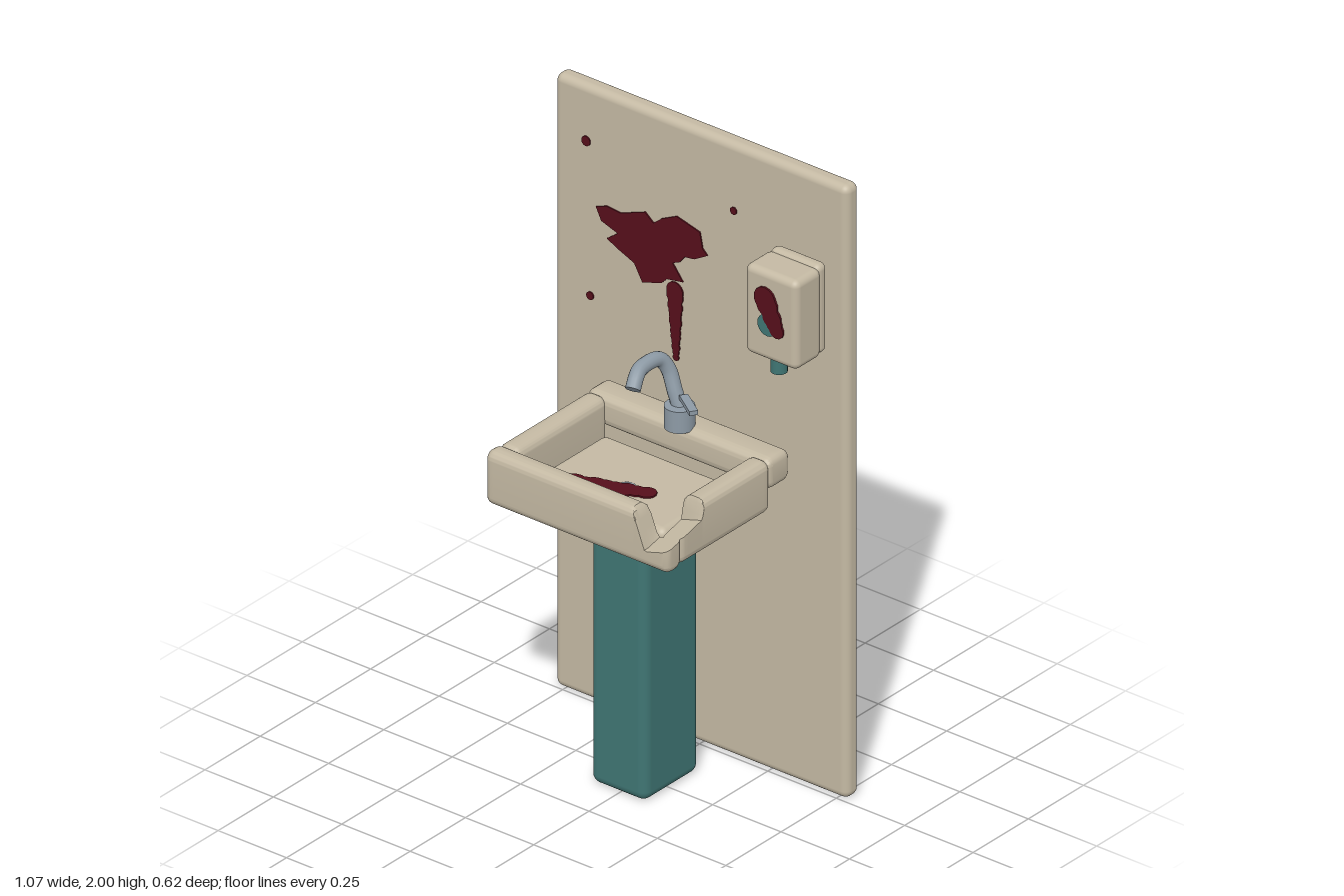
import * as THREE from 'three';
import { toCreasedNormals } from 'three/addons/utils/BufferGeometryUtils.js';
import { RoundedBoxGeometry } from 'three/addons/geometries/RoundedBoxGeometry.js';

const paint = (color) => new THREE.MeshStandardMaterial({ color });

export function createModel() {
  const model = new THREE.Group();
  const cream = paint(0xc4b9a3), teal = paint(0x3f7573), metal = paint(0x8d9aa5), red = paint(0x560f1b);

  const add = (name, geometry, material, x = 0, y = 0, z = 0, parent = model) => {
    const mesh = new THREE.Mesh(geometry, material);
    mesh.name = name;
    mesh.position.set(x, y, z);
    parent.add(mesh);
    return mesh;
  };

  // Rounded block given by its limits on each axis
  const block = (name, [x0, x1], [y0, y1], [z0, z1], r, material, parent = model) =>
    add(name, new RoundedBoxGeometry(x1 - x0, y1 - y0, z1 - z0, 4, r), material,
      (x0 + x1) / 2, (y0 + y1) / 2, (z0 + z1) / 2, parent);

  // Height of the broken surface at the front left corner of the rim
  const breakHeight = (x, z) => Math.max(
    1.03 + (x - 0.335) * 0.3 - (z - 0.14) * 0.25,
    1.085 - (x - 0.205) * 2.6,
    1.085 - (z - 0.14) * 5.5);

  // Rounded rim bar, extruded lengthwise and cut down to the broken surface
  const rimBar = (name, [x0, x1], [y0, y1], [z0, z1], alongX, parent) => {
    const length = alongX ? x1 - x0 : z1 - z0;
    const w = (alongX ? z1 - z0 : x1 - x0) / 2, h = (y1 - y0) / 2, r = 0.028, b = 0.022;
    const s = new THREE.Shape();
    s.moveTo(w - r, -h);
    s.absarc(w - r, -h + r, r, -Math.PI / 2, 0);
    s.absarc(w - r, h - r, r, 0, Math.PI / 2);
    s.absarc(-w + r, h - r, r, Math.PI / 2, Math.PI);
    s.absarc(-w + r, -h + r, r, Math.PI, Math.PI * 1.5);
    const g = new THREE.ExtrudeGeometry(s, {
      depth: length - 2 * b, steps: 60, curveSegments: 6,
      bevelThickness: b, bevelSize: b, bevelOffset: -b, bevelSegments: 4,
    });
    g.translate(0, 0, b - length / 2);
    if (alongX) g.rotateY(Math.PI / 2);
    g.translate((x0 + x1) / 2, (y0 + y1) / 2, (z0 + z1) / 2);
    const p = g.attributes.position;
    for (let i = 0; i < p.count; i++) {
      p.setY(i, Math.min(p.getY(i), breakHeight(p.getX(i), p.getZ(i))));
    }
    add(name, toCreasedNormals(g, 0.6), cream, 0, 0, 0, parent);
  };

  // Wall panel and pedestal
  block('wallPanel', [-0.535, 0.535], [0, 2], [-0.315, -0.255], 0.024, cream);
  block('pedestal', [-0.105, 0.1], [0, 0.88], [-0.13, 0.12], 0.03, teal);

  // Basin: floor slab surrounded by four rim bars
  const basin = new THREE.Group();
  basin.name = 'basin';
  model.add(basin);
  block('basinFloor', [-0.246, 0.246], [0.9, 0.985], [-0.125, 0.217], 0.025, cream, basin);
  rimBar('backRim', [-0.335, 0.335], [0.985, 1.085], [-0.25, -0.145], true, basin);
  rimBar('frontRim', [-0.335, 0.335], [0.91, 1.085], [0.24, 0.31], true, basin);
  rimBar('rightRim', [-0.335, -0.26], [0.915, 1.083], [-0.16, 0.25], false, basin);
  rimBar('leftRim', [0.26, 0.335], [0.915, 1.083], [-0.16, 0.25], false, basin);
  const drain = add('drain', new THREE.TorusGeometry(0.023, 0.005, 8, 24), metal, 0, 0.983, 0.08, basin);
  drain.rotation.x = Math.PI / 2;

  // Faucet: base, bent spout and lever
  const faucet = new THREE.Group();
  faucet.name = 'faucet';
  model.add(faucet);
  add('faucetBase', new THREE.CylinderGeometry(0.045, 0.045, 0.07, 20), metal, 0, 1.112, -0.16, faucet);
  const path = [
    [0, 1.13, -0.165], [-0.02, 1.18, -0.165], [-0.046, 1.25, -0.164], [-0.06, 1.284, -0.14],
    [-0.063, 1.286, -0.06], [-0.056, 1.272, -0.032], [-0.048, 1.246, -0.008],
  ].map((p) => new THREE.Vector3(...p));
  const curve = new THREE.CatmullRomCurve3(path);
  add('spout', new THREE.TubeGeometry(curve, 36, 0.023, 14), metal, 0, 0, 0, faucet);
  const tip = add('spoutTip', new THREE.CircleGeometry(0.023, 14), metal, ...path[6].toArray(), faucet);
  tip.lookAt(path[6].clone().add(curve.getTangent(1)));
  const lever = add('lever', new THREE.BoxGeometry(0.1, 0.014, 0.026), metal, 0.055, 1.178, -0.133, faucet);
  lever.rotation.y = -0.6;

  // Soap dispenser
  const dispenser = new THREE.Group();
  dispenser.name = 'soapDispenser';
  model.add(dispenser);
  block('dispenserPlate', [0.288, 0.47], [1.45, 1.742], [-0.25, -0.205], 0.02, cream, dispenser);
  block('dispenserBody', [0.282, 0.474], [1.445, 1.735], [-0.22, -0.102], 0.022, cream, dispenser);
  add('nozzle', new THREE.CylinderGeometry(0.025, 0.025, 0.05, 16), teal, 0.376, 1.423, -0.145, dispenser);
  const button = add('button', new THREE.CylinderGeometry(0.035, 0.035, 0.008, 20), teal, 0.37, 1.565, -0.101, dispenser);
  button.rotation.x = Math.PI / 2;

  // Smear: a chain of thin overlapping discs between two points, with slightly uneven radii
  const smear = (name, a, b, r0, r1, count, upright) => {
    const group = new THREE.Group();
    group.name = name;
    const from = new THREE.Vector3(...a), to = new THREE.Vector3(...b);
    for (let i = 0; i < count; i++) {
      const t = count > 1 ? i / (count - 1) : 0;
      const r = THREE.MathUtils.lerp(r0, r1, t) * (1 + 0.08 * Math.sin(i * 2.4));
      const c = from.clone().lerp(to, t);
      const disc = add('smearSpot', new THREE.CylinderGeometry(r, r, 0.006, 14), red, c.x, c.y, c.z, group);
      if (upright) disc.rotation.x = Math.PI / 2;
    }
    model.add(group);
  };
  smear('basinSmear', [-0.165, 0.987, 0.17], [0.07, 0.987, 0.075], 0.044, 0.029, 9, false);
  smear('dispenserSmear', [0.362, 1.648, -0.098], [0.405, 1.56, -0.098], 0.039, 0.027, 6, true);
  smear('wallDrip', [-0.092, 1.445, -0.254], [-0.088, 1.23, -0.254], 0.03, 0.011, 14, true);
  for (const [x, y, r] of [[-0.417, 1.82, 0.016], [0.122, 1.783, 0.012], [-0.402, 1.32, 0.013]]) {
    smear('wallDroplet', [x, y, -0.254], [x + 0.004, y, -0.254], r, r, 1, true);
  }

  // Jagged splat on the wall
  const splat = new THREE.Shape([
    [-0.38, 1.62], [-0.34, 1.635], [-0.29, 1.63], [-0.2, 1.665], [-0.17, 1.64], [-0.14, 1.665],
    [-0.085, 1.692], [0, 1.67], [0.01, 1.62], [0.028, 1.603], [-0.02, 1.575], [-0.055, 1.57],
    [-0.075, 1.545], [-0.1, 1.535], [-0.062, 1.485], [-0.12, 1.475], [-0.14, 1.455],
    [-0.21, 1.432], [-0.24, 1.485], [-0.3, 1.51], [-0.34, 1.53], [-0.3, 1.56], [-0.36, 1.58],
  ].map(([x, y]) => new THREE.Vector2(x, y)));
  add('wallSplat', new THREE.ExtrudeGeometry(splat, { depth: 0.006, bevelEnabled: false }), red, 0, 0, -0.257);

  return model;
}
